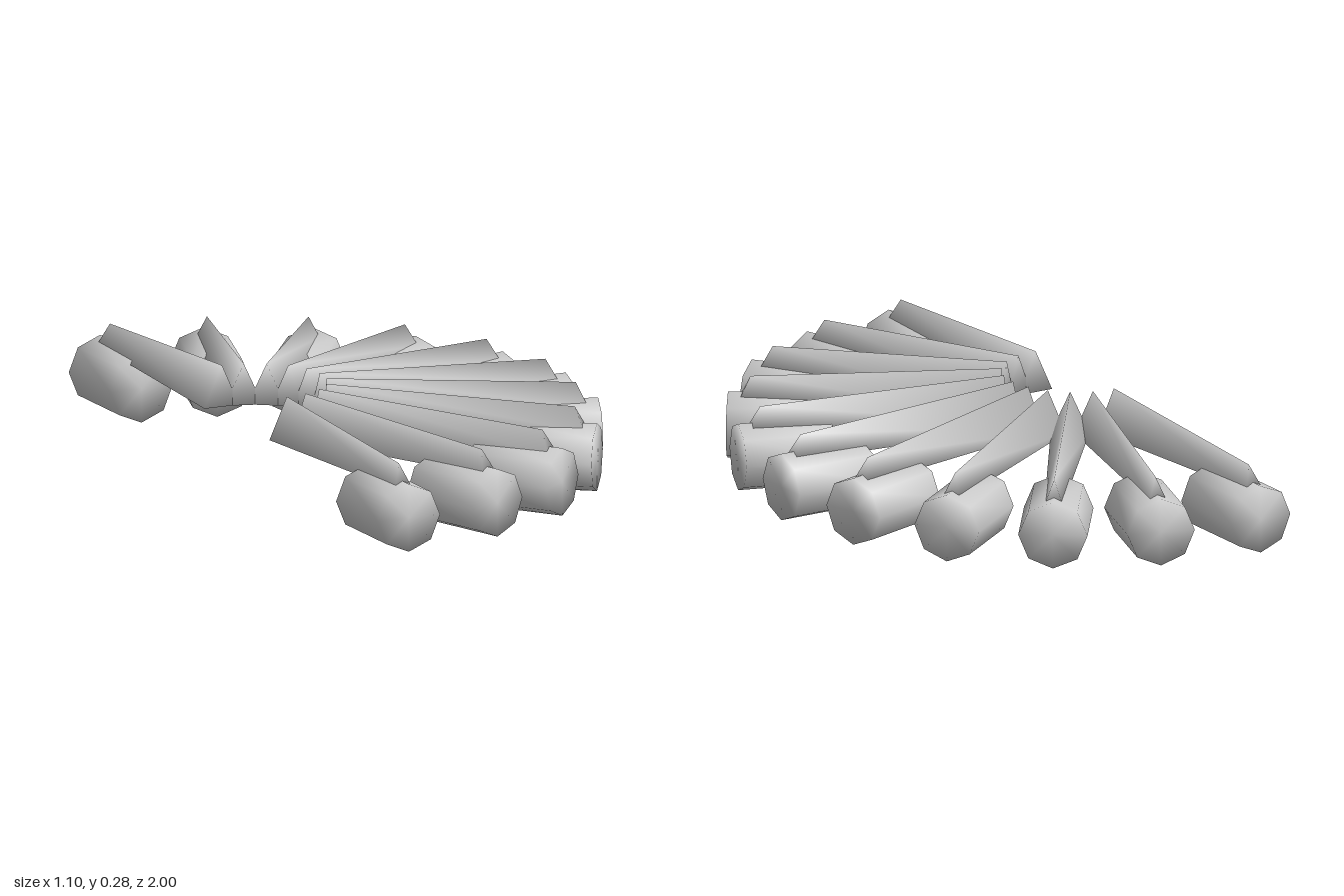
import * as THREE from 'three';
import { mergeVertices } from 'three/addons/utils/BufferGeometryUtils.js';

// Share vertices so that shading runs smoothly over every edge
function smooth(geometry) {
  geometry.deleteAttribute('normal');
  geometry.deleteAttribute('uv');
  const merged = mergeVertices(geometry, 1e-4);
  merged.computeVertexNormals();
  return merged;
}

// Tapered bar of triangular section, running outwards along +z with a sloping tip
function barGeometry() {
  // [ridge z, ridge y, base z, base y, half width]
  const sections = [
    [0.21, 0.285, 0.21, 0.162, 0.056],
    [0.935, 0.248, 0.967, 0.18, 0.027],
  ];
  const positions = [];
  for (const [rz, ry, bz, by, w] of sections) {
    positions.push(0, ry, rz, -w, by, bz, w, by, bz);
  }
  const index = [0, 2, 1, 3, 4, 5];
  for (let i = 0; i < 3; i++) {
    const j = (i + 1) % 3;
    index.push(i, j, j + 3, i, j + 3, i + 3);
  }
  const g = new THREE.BufferGeometry();
  g.setAttribute('position', new THREE.Float32BufferAttribute(positions, 3));
  g.setIndex(index);
  g.computeVertexNormals();
  return g;
}

export function createModel() {
  const model = new THREE.Group();
  model.name = 'radialFan';
  const material = new THREE.MeshStandardMaterial({ color: 0xcccccc });

  // Eight-sided drum lying along the spoke
  const drumGeometry = smooth(
    new THREE.CylinderGeometry(0.1, 0.1, 0.27, 8).rotateX(Math.PI / 2).translate(0, 0.1, 0.865)
  );
  const bar = barGeometry();

  // Eleven spokes in a half circle
  const count = 11;
  for (let i = 0; i < count; i++) {
    const spoke = new THREE.Group();
    spoke.name = `spoke${i + 1}`;
    const drum = new THREE.Mesh(drumGeometry, material);
    drum.name = 'drum';
    const ridgeBar = new THREE.Mesh(bar, material);
    ridgeBar.name = 'ridgeBar';
    spoke.add(drum, ridgeBar);
    spoke.position.x = -0.45;
    spoke.rotation.y = (i / (count - 1)) * Math.PI;
    model.add(spoke);
  }
  return model;
}
